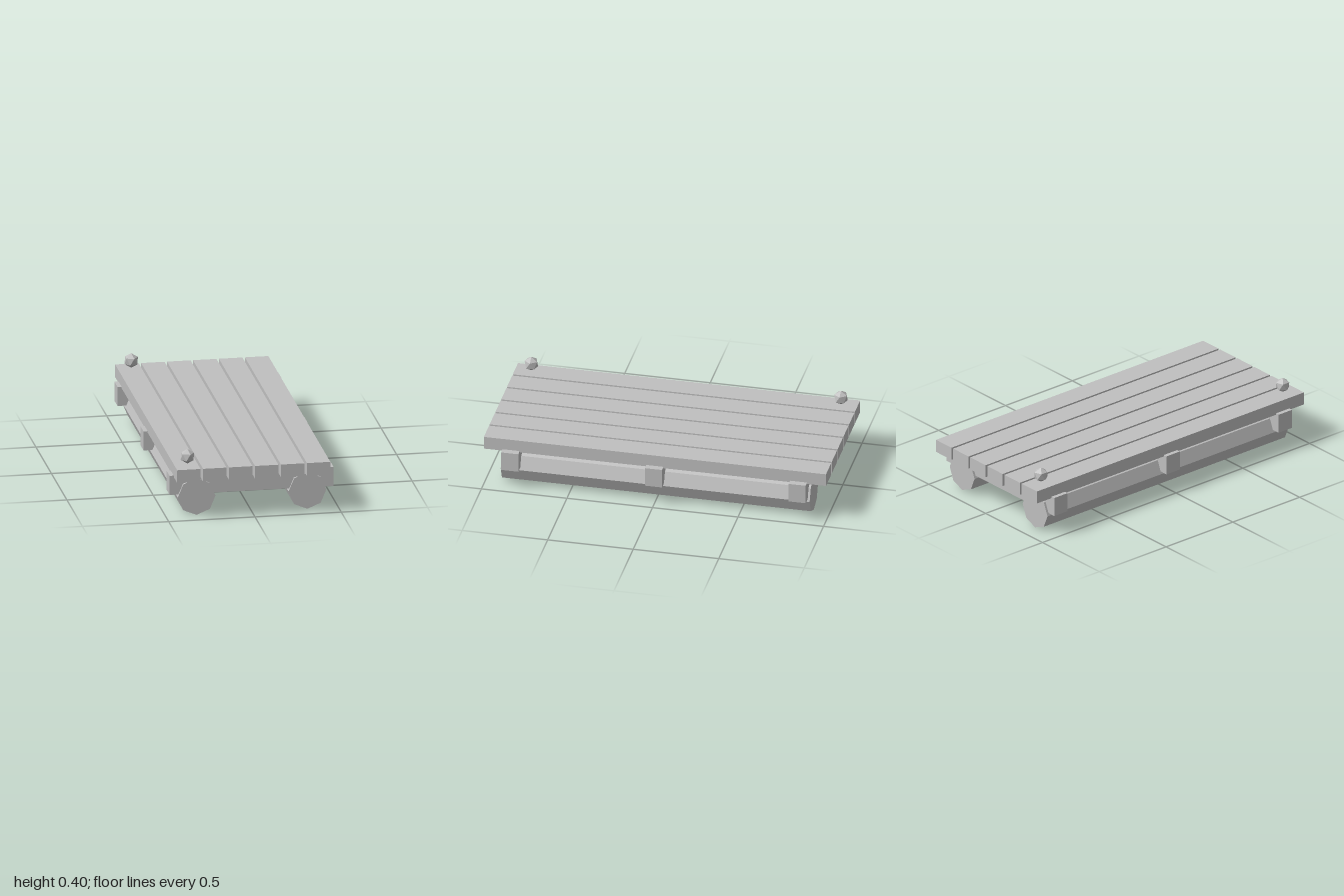
import * as THREE from 'three';

export function createModel() {
  const model = new THREE.Group();
  model.name = 'logRaft';
  const grey = new THREE.MeshStandardMaterial({ color: 0xbfbfbf, flatShading: true });
  grey.name = 'plain grey';

  const add = (name, geometry, x, y, z) => {
    const mesh = new THREE.Mesh(geometry, grey);
    mesh.name = name;
    mesh.position.set(x, y, z);
    model.add(mesh);
  };

  // Two eight-sided float logs, a corner pointing up
  const log = new THREE.CylinderGeometry(0.109, 0.109, 1.806, 8).rotateX(Math.PI / 2);
  add('leftLog', log, 0.321, 0.109, 0);
  add('rightLog', log, -0.321, 0.109, 0);

  // Cross beams tying the logs together
  const beam = new THREE.BoxGeometry(0.95, 0.114, 0.1);
  for (const z of [-0.84, 0, 0.84]) add('crossBeam', beam, 0, 0.181, z);

  // Deck planks with narrow gaps
  const plank = new THREE.BoxGeometry(0.136, 0.076, 2);
  for (let i = 0; i < 6; i++) add('deckPlank', plank, -0.383 + i * 0.1503, 0.267, 0);

  // Small faceted knobs floating above the right edge, one corner straight up
  const tilt = Math.atan(2 / (1 + Math.sqrt(5)));
  const knob = new THREE.IcosahedronGeometry(0.0435, 0).rotateZ(-tilt);
  for (const z of [-0.905, 0.905]) add('knob', knob, -0.375, 0.355, z);

  return model;
}
